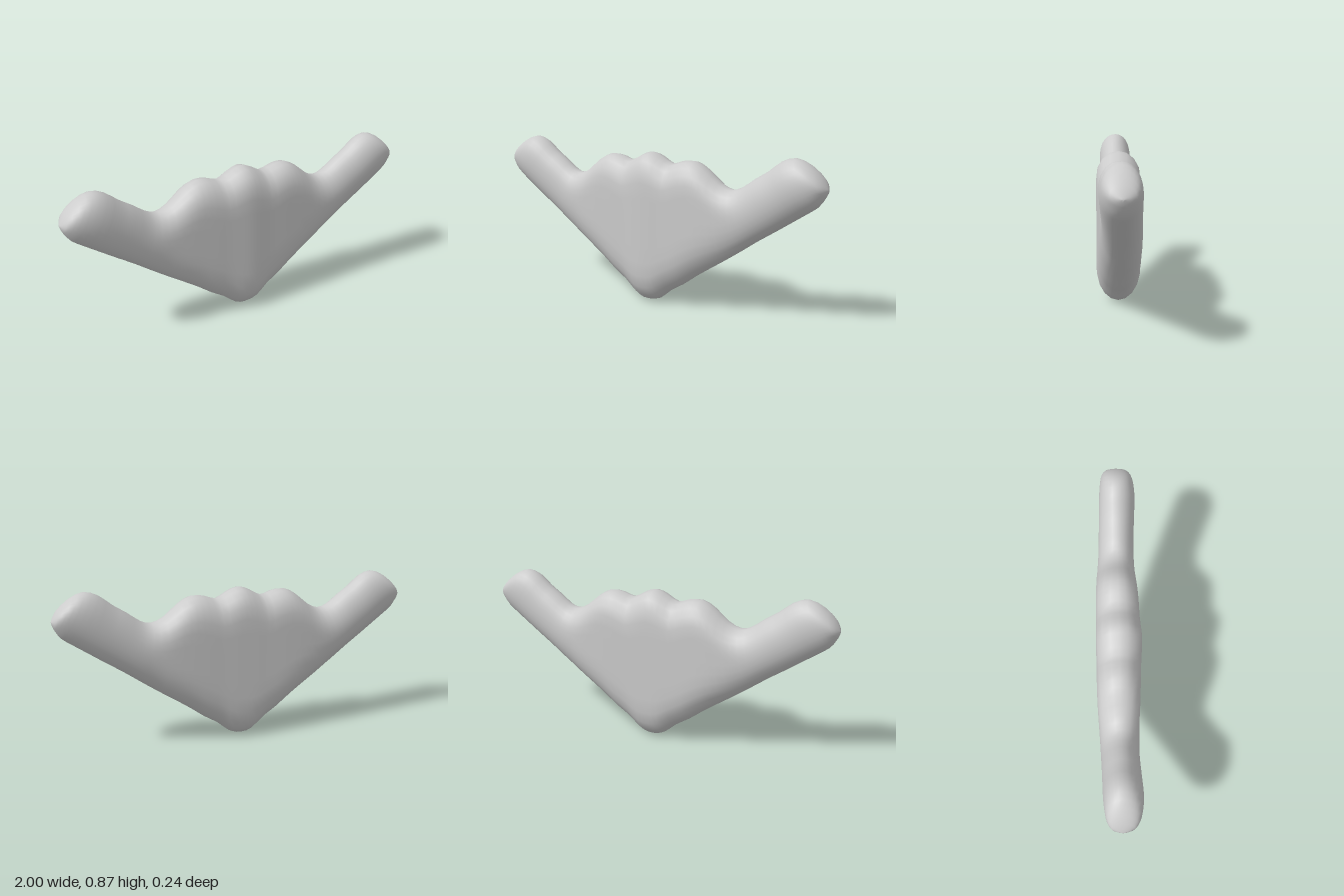
import * as THREE from 'three';

// Ribs from the middle to the tip: lower x, y, upper x, y, front depth, back depth
const RIBS = [
  [0, 0.004, 0, 0.84, 0.121, 0.121],
  [0.06, 0.017, 0.06, 0.82, 0.118, 0.121],
  [0.13, 0.075, 0.13, 0.785, 0.113, 0.12],
  [0.21, 0.125, 0.2, 0.805, 0.11, 0.12],
  [0.29, 0.185, 0.27, 0.81, 0.106, 0.119],
  [0.37, 0.24, 0.34, 0.775, 0.102, 0.117],
  [0.46, 0.3, 0.42, 0.71, 0.097, 0.113],
  [0.56, 0.37, 0.49, 0.683, 0.094, 0.108],
  [0.65, 0.435, 0.55, 0.7, 0.093, 0.104],
  [0.74, 0.495, 0.62, 0.75, 0.096, 0.1],
  [0.82, 0.55, 0.69, 0.795, 0.1, 0.097],
  [0.9, 0.605, 0.76, 0.85, 0.103, 0.094],
  [0.955, 0.645, 0.83, 0.872, 0.096, 0.088],
  [0.983, 0.685, 0.9, 0.845, 0.082, 0.078],
  [0.995, 0.71, 0.965, 0.79, 0.056, 0.055],
  [1, 0.73, 0.997, 0.74, 0.01, 0.01],
];

const STEPS = 2; // sections per rib gap
const SIDE = 14; // points along each face of a section

// Smooth rib values at position s, mirrored across the middle
function ribAt(s) {
  const a = Math.abs(s);
  const i = Math.min(Math.floor(a), RIBS.length - 2);
  const t = a - i;
  const get = (k, c) => (k < 0 ? RIBS[-k][c] * (c === 0 || c === 2 ? -1 : 1) : RIBS[Math.min(k, RIBS.length - 1)][c]);
  const v = RIBS[0].map((_, c) => {
    const p0 = get(i - 1, c), p1 = get(i, c), p2 = get(i + 1, c), p3 = get(i + 2, c);
    return p1 + 0.5 * t * (p2 - p0 + t * (2 * p0 - 5 * p1 + 4 * p2 - p3 + t * (3 * (p1 - p2) + p3 - p0)));
  });
  if (s < 0) { v[0] *= -1; v[2] *= -1; }
  return v;
}

// Closed rounded section: up the front, down the back
function section(s) {
  const [lx, ly, ux, uy, front, back] = ribAt(s);
  const len = Math.hypot(ux - lx, uy - ly);
  const rLow = Math.min(0.18, len / 2), rTop = Math.min(0.14, len / 2);
  const points = [];
  for (let k = 0; k < SIDE * 2; k++) {
    const onFront = k <= SIDE;
    const j = onFront ? k : 2 * SIDE - k;
    const t = (1 - Math.cos((Math.PI * j) / SIDE)) / 2;
    const round = (d, r) => Math.sqrt(Math.max(0, 1 - (1 - Math.min(d / r, 1)) ** 2));
    const h = round(t * len, rLow) * round((1 - t) * len, rTop);
    points.push([lx + (ux - lx) * t, ly + (uy - ly) * t, onFront ? front * h : -back * h]);
  }
  return points;
}

function bodyGeometry() {
  const half = (RIBS.length - 1) * STEPS;
  const positions = [], index = [], ring = SIDE * 2;
  for (let i = -half; i <= half; i++) {
    section(i / STEPS).forEach((p) => positions.push(...p));
  }
  for (let i = 0; i < half * 2; i++) {
    for (let k = 0; k < ring; k++) {
      const a = i * ring + k, b = i * ring + ((k + 1) % ring);
      index.push(a, a + ring, b, b, a + ring, b + ring);
    }
  }
  // Close both tips
  for (let k = 1; k < ring - 1; k++) {
    const e = half * 2 * ring;
    index.push(0, k, k + 1, e, e + k + 1, e + k);
  }
  const g = new THREE.BufferGeometry();
  g.setAttribute('position', new THREE.Float32BufferAttribute(positions, 3));
  g.setIndex(index);
  g.computeVertexNormals();
  return g;
}

export function createModel() {
  const group = new THREE.Group();
  const body = new THREE.Mesh(bodyGeometry(), new THREE.MeshStandardMaterial({ color: 0xcccccc, roughness: 0.8 }));
  body.name = 'wingBody';
  group.add(body);
  return group;
}
